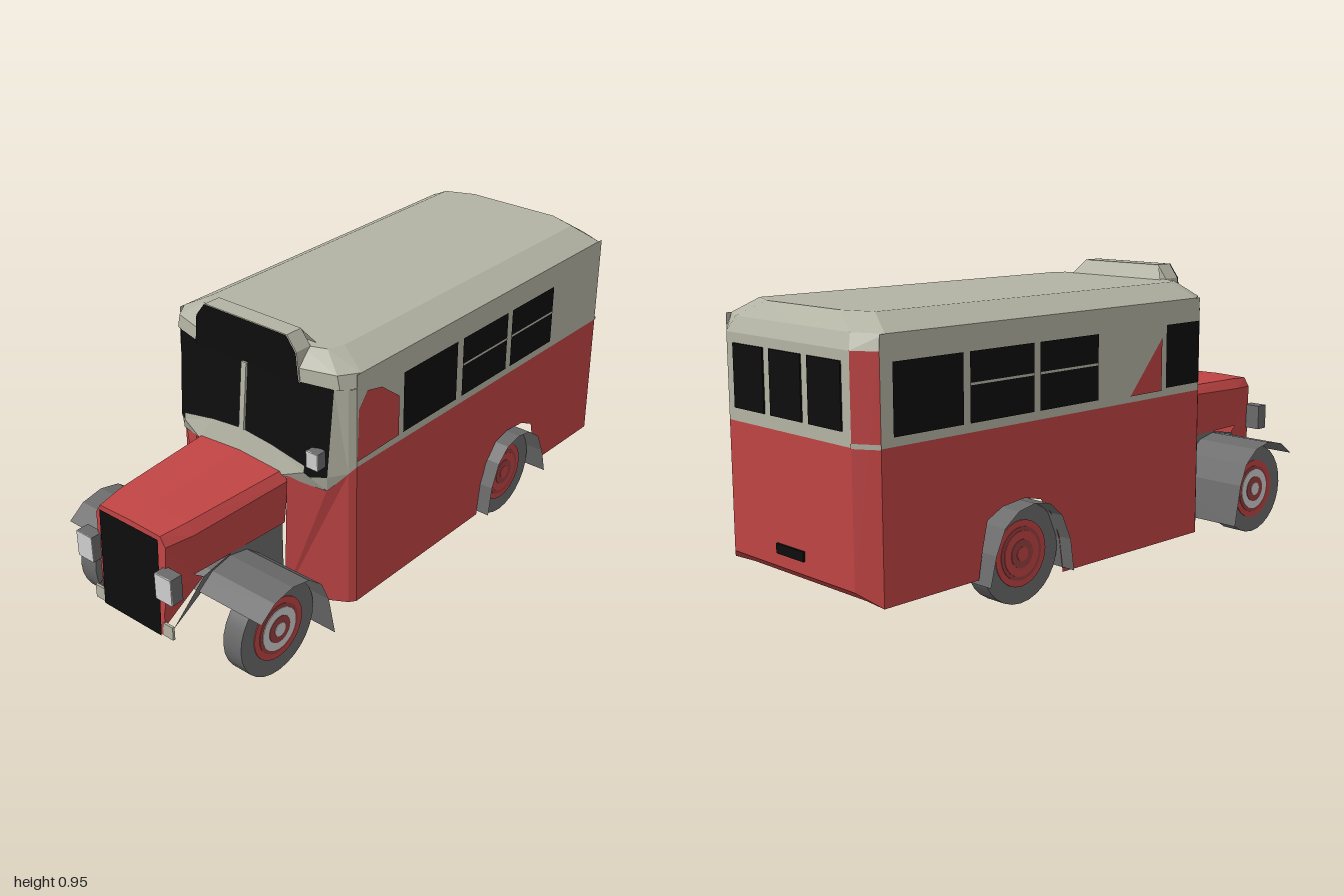
import * as THREE from 'three';

const mat = (name, color) => {
  const m = new THREE.MeshStandardMaterial({ color, side: THREE.DoubleSide });
  m.name = name;
  return m;
};

export function createModel() {
  const g = new THREE.Group();
  g.name = 'vintageBus';
  const red = mat('red paint', 0xc04444), beige = mat('beige paint', 0xb3b3a4), black = mat('black glass', 0x0d0d0d);
  const grey = mat('grey rubber', 0x6a6a6a), light = mat('light lens', 0xd0d0d0), hubRed = mat('hub red', 0x9a4040);

  const add = (name, geo, m, x = 0, y = 0, z = 0) => {
    const mesh = new THREE.Mesh(geo, m);
    mesh.name = name;
    mesh.position.set(x, y, z);
    g.add(mesh);
    return mesh;
  };
  // flat panels from convex polygons, optionally mirrored in x
  const panels = (name, m, polys, mirror = true) => {
    const v = [];
    const fan = (p, s) => {
      for (let i = 1; i < p.length - 1; i++) {
        const tri = s > 0 ? [p[0], p[i], p[i + 1]] : [p[0], p[i + 1], p[i]];
        tri.forEach(q => v.push(q[0] * s, q[1], q[2]));
      }
    };
    polys.forEach(p => { fan(p, 1); if (mirror) fan(p, -1); });
    const geo = new THREE.BufferGeometry();
    geo.setAttribute('position', new THREE.Float32BufferAttribute(v, 3));
    geo.computeVertexNormals();
    return add(name, geo, m);
  };
  // strips of quads between two rows of points
  const strip = (a, b) => a.slice(1).map((p, i) => [a[i], p, b[i + 1], b[i]]);
  // flat sheet in the side plane, from [z, y] points, at a given x
  const side = (name, m, pts, x) => {
    const shape = new THREE.Shape(pts.map(([z, y]) => new THREE.Vector2(-z, y)));
    const mesh = add(name, new THREE.ShapeGeometry(shape), m, x);
    mesh.rotation.y = Math.PI / 2;
    return mesh;
  };
  const rect = (z0, z1, y0, y1) => [[z0, y0], [z1, y0], [z1, y1], [z0, y1]];

  // lower body sides with rear wheel cut-outs, and window band above
  const lower = [[0.39, 0.065], [-0.25, 0.065], [-0.265, 0.17], [-0.29, 0.245], [-0.345, 0.31], [-0.41, 0.325],
    [-0.5, 0.315], [-0.56, 0.285], [-0.58, 0.2], [-0.595, 0.115], [-0.94, 0.11], [-0.94, 0.55], [0.39, 0.55]];
  for (const s of [1, -1]) {
    side('lowerSide', red, lower, s * 0.36);
    side('windowBand', beige, rect(0.39, -0.94, 0.55, 0.855), s * 0.36);
  }

  // side windows, glazing bars and red door patches
  const windows = [
    [1, 0.175, -0.095, 0], [1, -0.125, -0.37, 1], [1, -0.395, -0.64, 1],
    [-1, 0.22, 0.385, 0], [-1, -0.1, -0.35, 1], [-1, -0.375, -0.625, 1], [-1, -0.65, -0.9, 0]];
  for (const [s, a, b, bar] of windows) {
    side('sideWindow', black, rect(a, b, 0.577, 0.78), s * 0.364);
    if (bar) side('glazingBar', beige, rect(a, b, 0.685, 0.692), s * 0.366);
  }
  side('doorPatch', red, [[0.39, 0.57], [0.385, 0.74], [0.345, 0.79], [0.28, 0.775], [0.195, 0.71], [0.195, 0.575]], 0.363);
  side('doorPatch', red, [[0.05, 0.57], [0.2, 0.57], [0.2, 0.74]], -0.363);

  // rear end
  panels('rearLower', red, [
    [[0, 0.15, -0.985], [0, 0.55, -0.985], [0.29, 0.55, -0.985], [0.29, 0.15, -0.985]],
    [[0, 0.15, -0.985], [0.29, 0.15, -0.985], [0.27, 0.11, -0.93], [0, 0.11, -0.93]],
    [[0.29, 0.15, -0.985], [0.36, 0.13, -0.94], [0.36, 0.11, -0.94], [0.27, 0.11, -0.93]],
    [[0.29, 0.15, -0.985], [0.29, 0.81, -0.985], [0.36, 0.81, -0.94], [0.36, 0.13, -0.94]]]);
  panels('rearUpper', beige, [[[0, 0.55, -0.985], [0, 0.81, -0.985], [0.29, 0.81, -0.985], [0.29, 0.55, -0.985]]]);
  panels('cornerTrim', beige, [[[0.29, 0.548, -0.988], [0.29, 0.562, -0.988], [0.363, 0.562, -0.941], [0.363, 0.548, -0.941]]]);
  for (const x of [0.18, 0, -0.18]) add('rearWindow', new THREE.BoxGeometry(0.148, 0.19, 0.006), black, x, 0.685, -0.987);
  add('rearPlate', new THREE.BoxGeometry(0.13, 0.03, 0.008), black, 0, 0.205, -0.988);

  // roof from three rings and a flat top
  const ring = (y, pts) => pts.map(([x, z]) => [x, y, z]);
  const r0 = ring(0.81, [[0, -0.985], [0.29, -0.985], [0.36, -0.94], [0.36, 0.385], [0.33, 0.43], [0.2, 0.468], [0, 0.468]]);
  const r1 = ring(0.855, [[0, -0.965], [0.27, -0.965], [0.36, -0.92], [0.36, 0.37], [0.32, 0.43], [0.2, 0.465], [0, 0.465]]);
  const r2 = ring(0.903, [[0, -0.92], [0.17, -0.92], [0.27, -0.88], [0.27, 0.34], [0.25, 0.39], [0.17, 0.42], [0, 0.42]]);
  panels('roof', beige, [...strip(r0, r1), ...strip(r1, r2), r2]);

  // raised sign box above the windscreen
  const sign = new THREE.Shape([[-0.21, 0.81], [0.21, 0.81], [0.2, 0.905], [0.165, 0.95], [-0.165, 0.95], [-0.2, 0.905]]
    .map(p => new THREE.Vector2(...p)));
  add('signBox', new THREE.ExtrudeGeometry(sign, { depth: 0.06, bevelEnabled: false }), beige, 0, 0, 0.408);
  panels('signBoxBack', beige, [[[0, 0.95, 0.41], [0.165, 0.95, 0.41], [0.2, 0.903, 0.38], [0, 0.903, 0.38]]]);
  add('signGlass', new THREE.ShapeGeometry(sign), black, 0, 0, 0.472);

  // windscreen, pillars and cowl
  panels('windscreen', black, strip(
    [[0, 0.815, 0.472], [0.2, 0.815, 0.47], [0.312, 0.81, 0.435]],
    [[0, 0.54, 0.497], [0.25, 0.52, 0.492], [0.305, 0.525, 0.46]]));
  add('windscreenDivider', new THREE.BoxGeometry(0.02, 0.22, 0.008), beige, 0, 0.705, 0.488).rotation.x = -0.1;
  panels('pillars', beige, [
    [[0.312, 0.81, 0.435], [0.305, 0.525, 0.46], [0.345, 0.53, 0.41], [0.345, 0.81, 0.41]],
    [[0.305, 0.525, 0.46], [0.25, 0.52, 0.492], [0.3, 0.475, 0.455], [0.345, 0.53, 0.41]],
    [[0.345, 0.53, 0.41], [0.345, 0.81, 0.41], [0.36, 0.81, 0.39], [0.36, 0.55, 0.39]]]);
  panels('cowl', beige, strip(
    [[0, 0.6, 0.5], [0.12, 0.588, 0.5], [0.25, 0.562, 0.497]],
    [[0, 0.525, 0.515], [0.17, 0.508, 0.515], [0.25, 0.54, 0.5]]).concat([
    [[0.17, 0.508, 0.515], [0.25, 0.54, 0.5], [0.3, 0.475, 0.457]]]));

  // front body corners beside the bonnet
  panels('frontCorners', red, [
    [[0.17, 0.065, 0.51], [0.345, 0.065, 0.41], [0.345, 0.53, 0.41], [0.3, 0.485, 0.45], [0.19, 0.51, 0.51]],
    [[0.345, 0.065, 0.41], [0.36, 0.065, 0.39], [0.36, 0.55, 0.39], [0.345, 0.53, 0.41]]]);

  // bonnet lofted from nose to cowl
  const nose = [[0, 0.503, 0.962], [0.125, 0.5, 0.962], [0.145, 0.47, 0.962], [0.14, 0.335, 0.968]];
  const mid = [[0, 0.51, 0.87], [0.14, 0.507, 0.87], [0.167, 0.475, 0.87], [0.155, 0.335, 0.87]];
  const back = [[0, 0.53, 0.505], [0.165, 0.518, 0.505], [0.19, 0.49, 0.505], [0.172, 0.335, 0.505]];
  panels('bonnet', red, [...strip(nose, mid), ...strip(mid, back),
    [...nose, [0.128, 0.165, 0.975], [0, 0.165, 0.975]],
    [[0.14, 0.335, 0.968], [0.128, 0.19, 0.975], [0.16, 0.315, 0.84], [0.155, 0.335, 0.87]]]);
  panels('grille', black, [[[0, 0.49, 0.968], [0, 0.165, 0.981], [0.122, 0.165, 0.981], [0.122, 0.49, 0.968]]]);

  // wheel arches: thin curved sheets across the full width
  const arch = (name, pts) => panels(name, grey,
    pts.slice(1).map(([z, y], i) => [[0, pts[i][1], pts[i][0]], [0.408, pts[i][1], pts[i][0]], [0.408, y, z], [0, y, z]]));
  const frontArch = [[0.862, 0.273], [0.805, 0.315], [0.73, 0.33], [0.66, 0.315], [0.605, 0.27], [0.575, 0.2], [0.548, 0.062]];
  arch('frontArch', frontArch);
  arch('rearArch', [[-0.25, 0.08], [-0.265, 0.18], [-0.3, 0.26], [-0.35, 0.305], [-0.415, 0.318],
    [-0.48, 0.305], [-0.535, 0.265], [-0.57, 0.19], [-0.593, 0.1]]);
  for (const s of [1, -1])
    side('chassisPanel', grey, [[0.97, 0.2], [0.84, 0.315], [0.73, 0.335], [0.505, 0.335], [0.505, 0.065],
      ...frontArch.slice().reverse().map(([z, y]) => [z, y - 0.012])], s * 0.162);

  // wheels: tyre, dished hub and rings
  const disc = (name, r, x, w, m, y, z) => { add(name, new THREE.CylinderGeometry(r, r, w, 28), m, x, y, z).rotation.z = Math.PI / 2; };
  for (const s of [1, -1]) for (const [z, centre] of [[0.73, light], [-0.415, red]]) {
    disc('tyre', 0.155, s * 0.31, 0.07, grey, 0.155, z);
    disc('wheelRim', 0.102, s * 0.311, 0.074, red, 0.155, z);
    disc('wheelRing', 0.082, s * 0.312, 0.076, hubRed, 0.155, z);
    disc('wheelTrim', 0.07, s * 0.313, 0.078, centre, 0.155, z);
    disc('hub', 0.044, s * 0.314, 0.08, hubRed, 0.155, z);
    disc('hubCap', 0.022, s * 0.315, 0.082, centre, 0.155, z);
  }

  // headlamps, bumper ends and mirror
  const lamp = (name, x, y, z, w, h, d) => {
    add(name, new THREE.BoxGeometry(w, h, d), grey, x, y, z);
    add(name + 'Face', new THREE.BoxGeometry(w, h, 0.004), light, x, y, z + d / 2);
  };
  for (const s of [1, -1]) {
    lamp('headlamp', s * 0.165, 0.358, 0.977, 0.065, 0.086, 0.042);
    add('bumperEnd', new THREE.BoxGeometry(0.04, 0.045, 0.008), beige, s * 0.145, 0.188, 0.972);
  }
  lamp('mirror', 0.278, 0.588, 0.478, 0.044, 0.055, 0.035);
  return g;
}
